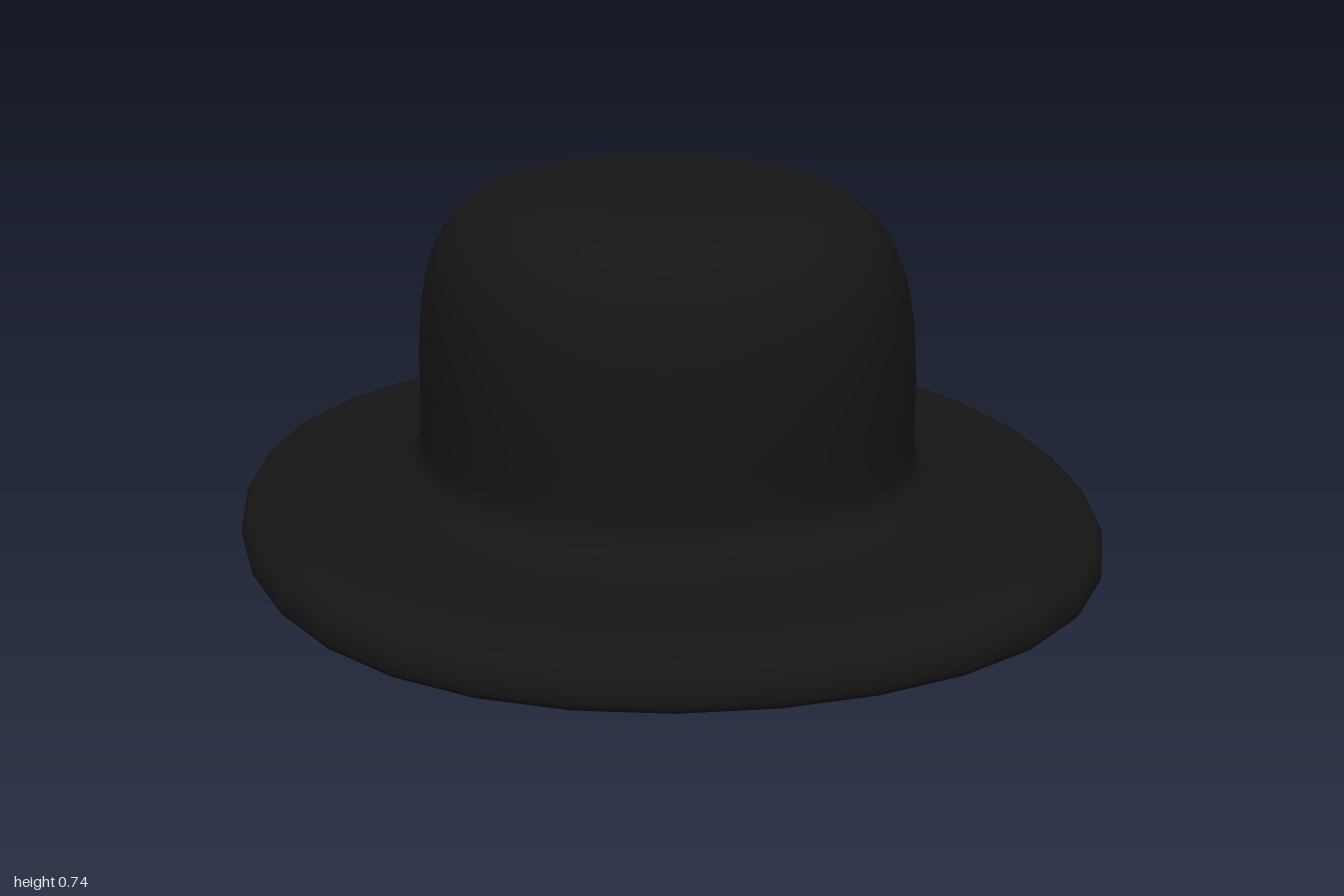
import * as THREE from 'three';
import { mergeVertices } from 'three/addons/utils/BufferGeometryUtils.js';

const felt = new THREE.MeshStandardMaterial({ color: 0x151515 });

// Smooth curve through [radius, height] points
function smoothProfile(points, count) {
  const curve = new THREE.CatmullRomCurve3(points.map(([r, y]) => new THREE.Vector3(r, y, 0)));
  return curve.getPoints(count).map((p) => new THREE.Vector2(Math.max(0, p.x), Math.max(0, p.y)));
}

// Lathe whose rings become long, slightly squared ovals
function ovalLathe(profile) {
  const geometry = new THREE.LatheGeometry(profile, 32);
  const pos = geometry.attributes.position;
  for (let i = 0; i < pos.count; i++) {
    const x = pos.getX(i), z = pos.getZ(i);
    let a = Math.atan2(x, z);
    const r = Math.hypot(x, z) * (1 + 0.033 * Math.sin(2 * a) ** 2);
    a += 0.014 * Math.sin(4 * a);
    pos.setX(i, r * Math.sin(a));
    pos.setZ(i, r * Math.cos(a) * 1.121);
  }
  // Weld the seam so the normals run smoothly all round
  geometry.deleteAttribute('normal');
  geometry.deleteAttribute('uv');
  const welded = mergeVertices(geometry, 1e-4);
  welded.computeVertexNormals();
  return welded;
}

export function createModel() {
  const hat = new THREE.Group();
  hat.name = 'hat';

  // Hollow underside: low ceiling, then a trumpet flaring out to the rim
  const inside = [
    [0, 0.362], [0.2, 0.361], [0.265, 0.356], [0.295, 0.338],
    [0.35, 0.24], [0.42, 0.158], [0.52, 0.096], [0.68, 0.046],
  ].map(([r, y]) => new THREE.Vector2(r, y));

  // Rounded rim, brim and tall crown
  const outside = smoothProfile([
    [0.884, 0], [0.892, 0.012], [0.892, 0.045], [0.875, 0.075], [0.82, 0.1],
    [0.7, 0.112], [0.6, 0.122], [0.55, 0.136], [0.524, 0.162], [0.516, 0.2],
    [0.514, 0.36], [0.505, 0.48], [0.482, 0.58], [0.44, 0.652], [0.37, 0.703],
    [0.27, 0.729], [0.12, 0.736], [0, 0.737],
  ], 64);

  const body = new THREE.Mesh(ovalLathe([...inside, ...outside]), felt);
  body.name = 'brimAndCrown';
  hat.add(body);
  return hat;
}
